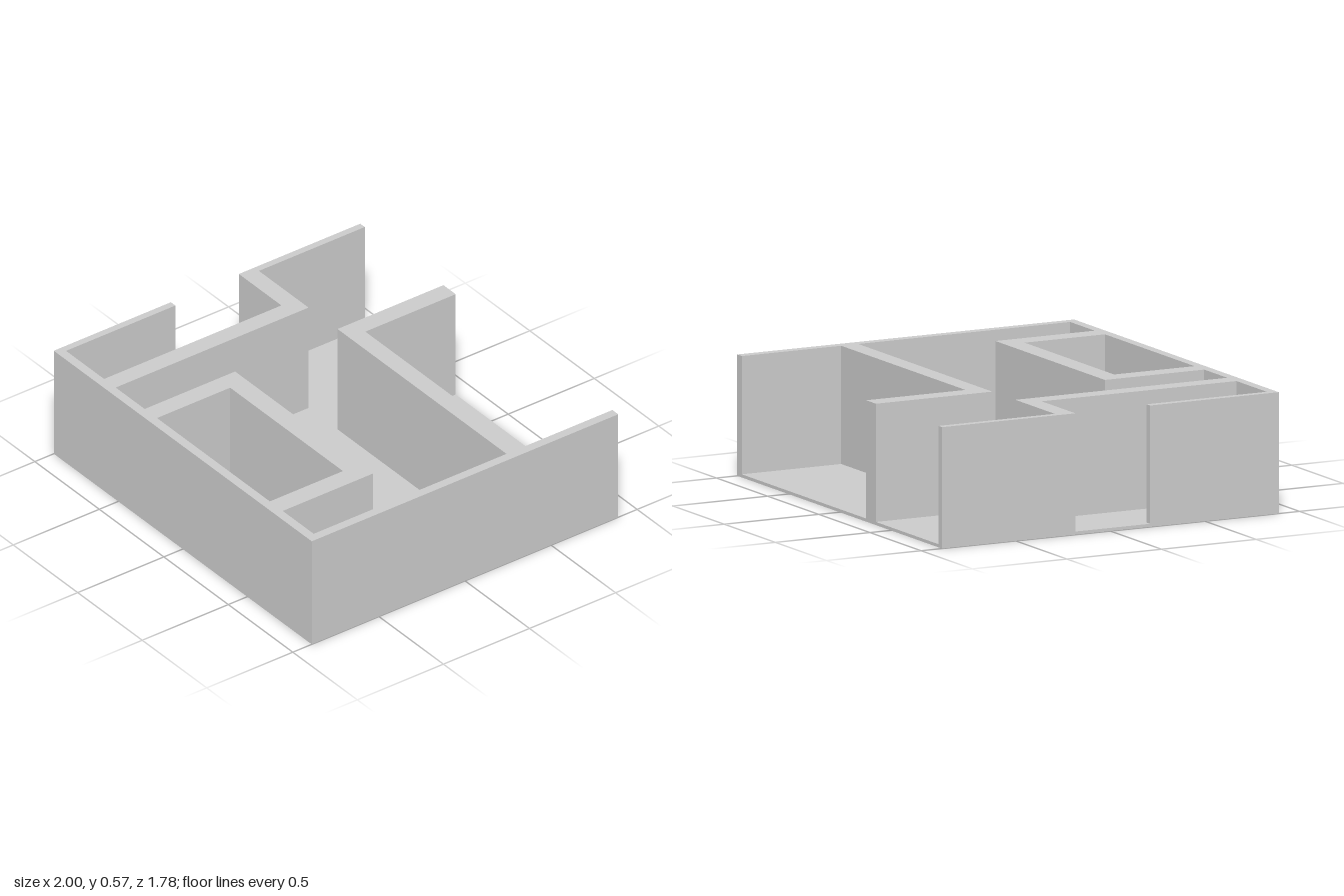
import * as THREE from 'three';

const HEIGHT = 0.575;
const FLOOR = 0.015;

// Plan points are given as [x, z]; the extrusion is laid flat so it rises along y.
const plan = (points) => points.map(([x, z]) => new THREE.Vector2(x, -z));

export function createModel() {
  const group = new THREE.Group();
  group.name = 'openFloorPlan';
  const material = new THREE.MeshStandardMaterial({ color: 0xcccccc });

  // Thin floor slab
  const floor = new THREE.Mesh(new THREE.BoxGeometry(2, FLOOR, 1.78), material);
  floor.name = 'floor';
  floor.position.y = FLOOR / 2;
  group.add(floor);

  // Continuous run of outer walls and partitions, open at the back and left doorway
  const outline = new THREE.Shape(plan([
    // front and right walls
    [-1, 0.89], [1, 0.89], [1, -0.89], [0.955, -0.89],
    // back room partition
    [0.955, -0.365], [-0.26, -0.365], [-0.26, -0.89], [-0.355, -0.89],
    [-0.355, -0.275], [0.955, -0.275], [0.955, 0.845],
    // front closed room
    [0.715, 0.845], [0.715, 0.32], [-0.355, 0.32], [-0.355, 0.845],
    // left partition and back part of the left wall
    [-0.58, 0.845], [-0.58, -0.275], [-0.965, -0.275], [-0.965, -0.89],
    [-1, -0.89], [-1, -0.185], [-0.67, -0.185], [-0.67, 0.845],
    // front part of the left wall
    [-0.965, 0.845], [-0.965, 0.21], [-1, 0.21],
  ]));

  // Inside of the closed front room
  outline.holes.push(new THREE.Path(plan([
    [-0.26, 0.42], [0.615, 0.42], [0.615, 0.845], [-0.26, 0.845],
  ])));

  const wallGeometry = new THREE.ExtrudeGeometry(outline, {
    depth: HEIGHT - FLOOR,
    bevelEnabled: false,
  });
  wallGeometry.rotateX(-Math.PI / 2);
  const walls = new THREE.Mesh(wallGeometry, material);
  walls.name = 'walls';
  walls.position.y = FLOOR;
  group.add(walls);

  return group;
}
